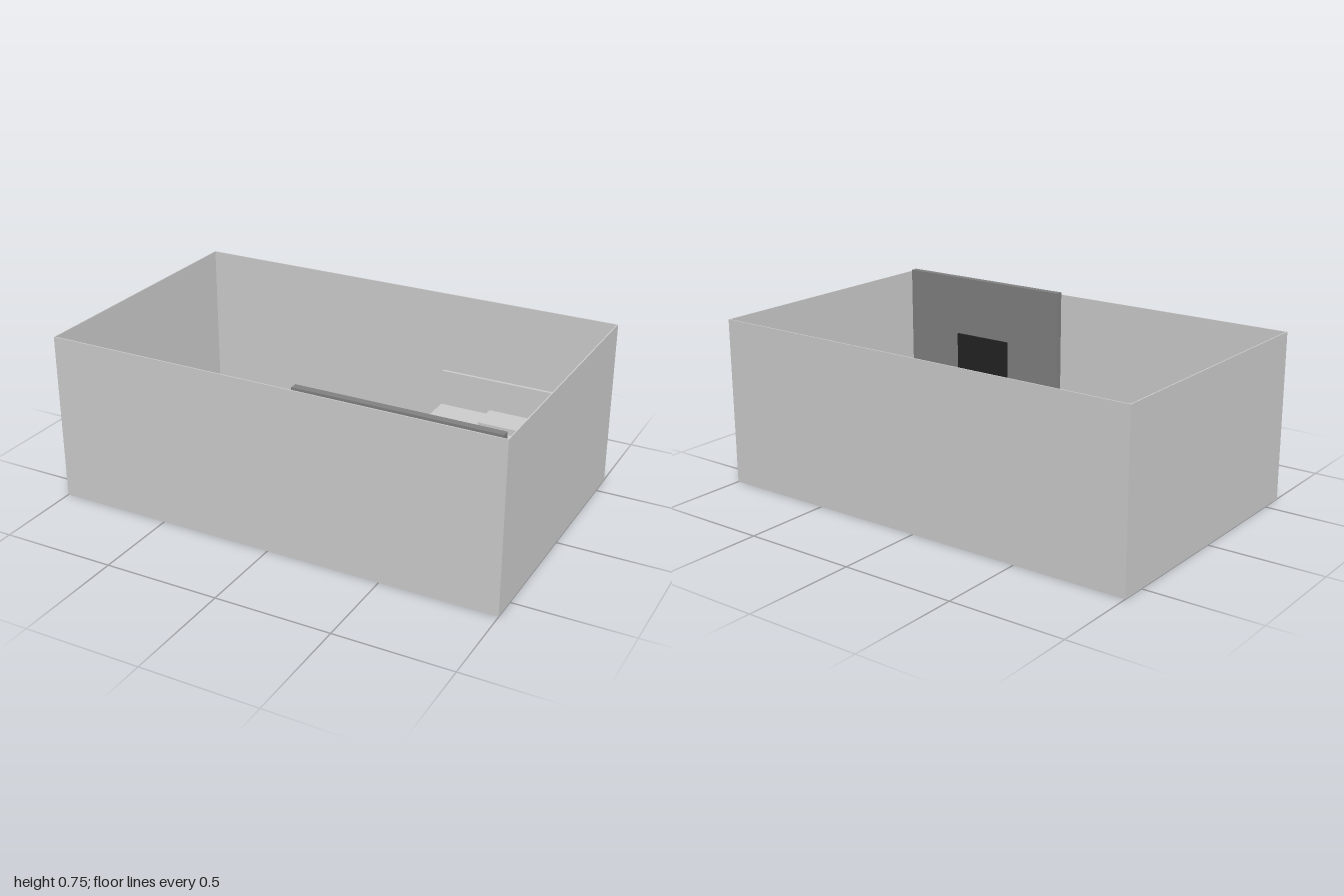
import * as THREE from 'three';

const material = (color) => new THREE.MeshStandardMaterial({ color });
const grey = material(0xcccccc);
const floorGrey = material(0x666666);
const panelGrey = material(0x808080);
const black = material(0x222222);
const brown = material(0x785633);

// Box given by its lower and upper corner on each axis
function block(name, [x0, x1], [y0, y1], [z0, z1], mat) {
  const mesh = new THREE.Mesh(new THREE.BoxGeometry(x1 - x0, y1 - y0, z1 - z0), mat);
  mesh.position.set((x0 + x1) / 2, (y0 + y1) / 2, (z0 + z1) / 2);
  mesh.name = name;
  return mesh;
}

// Sofa with its back on the -x side; side = -1 turns it to face the other way
function sofa(name, x, side) {
  const group = new THREE.Group();
  group.name = name;
  group.add(
    block('seat', [-0.057, 0.083], [0, 0.12], [-0.225, 0.225], brown),
    block('backrest', [-0.083, -0.057], [0, 0.228], [-0.245, 0.245], brown),
  );
  for (const s of [-1, 1]) {
    const arm = block('armrest', [-0.057, 0.083], [0, 0.17], [-0.01, 0.01], brown);
    arm.position.z = s * 0.235;
    group.add(arm);
  }
  group.position.set(x, 0.005, -0.045);
  if (side < 0) group.rotation.y = Math.PI;
  return group;
}

export function createModel() {
  const room = new THREE.Group();
  room.name = 'room';
  const W = 1, D = 0.611, H = 0.737, T = 0.005;

  // Floor and four thin walls
  room.add(block('floor', [-W + T, W - T], [0, T], [-D + T, D - T], floorGrey));
  for (const s of [-1, 1]) {
    const long = block('longWall', [-W, W], [0, H], [-T / 2, T / 2], grey);
    long.position.z = s * (D - T / 2);
    const short = block('shortWall', [-T / 2, T / 2], [0, H], [-D + T, D - T], grey);
    short.position.x = s * (W - T / 2);
    room.add(long, short);
  }

  // Bed against the back wall
  const bed = new THREE.Group();
  bed.name = 'bed';
  bed.add(
    block('mattress', [0.215, 0.95], [T, 0.205], [-0.592, 0.37], grey),
    block('headboard', [0.215, 0.95], [T, 0.37], [-0.606, -0.592], grey),
    block('pillow', [0.46, 0.71], [0.205, 0.235], [-0.573, -0.433], grey),
  );
  room.add(bed);

  // Screen on a panel at the front wall
  room.add(
    block('screenPanel', [0.12, 0.98], [T, 0.748], [0.574, 0.606], panelGrey),
    block('screen', [0.39, 0.68], [0.307, 0.479], [0.549, 0.559], black),
  );

  // Seating corner
  room.add(
    sofa('leftSofa', -0.792, 1),
    sofa('rightSofa', -0.277, -1),
    block('coffeeTable', [-0.607, -0.46], [T, 0.11], [-0.195, 0.1], brown),
  );
  return room;
}
